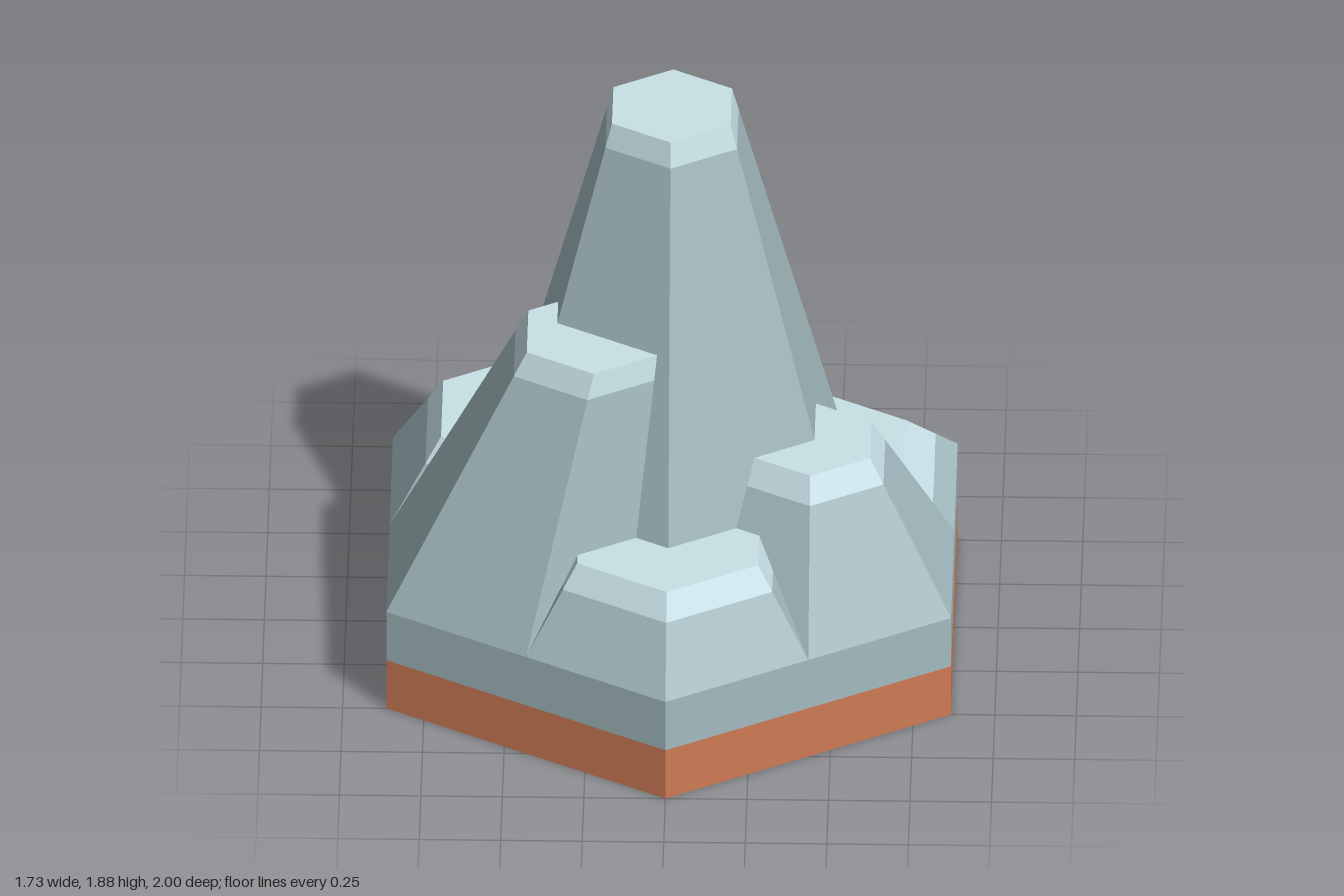
import * as THREE from 'three';

const rock = new THREE.MeshStandardMaterial({ color: 0xa3bbc0, flatShading: true });
const ice = new THREE.MeshStandardMaterial({ color: 0xc8e1e7, flatShading: true });
const clay = new THREE.MeshStandardMaterial({ color: 0xcf7c56, flatShading: true });

const BASE_Y = 0.35;
const CAP = 0.08;

// Six-sided block between two rings { x, y, z, r }, with a corner towards +z
function hexBlock(name, bottom, top, material) {
  const h = top.y - bottom.y;
  const geo = new THREE.CylinderGeometry(top.r, bottom.r, h, 6);
  const pos = geo.attributes.position;
  for (let i = 0; i < pos.count; i++) {
    const ring = pos.getY(i) > 0 ? top : bottom;
    pos.setXYZ(i, pos.getX(i) + ring.x, ring.y, pos.getZ(i) + ring.z);
  }
  geo.computeVertexNormals();
  const mesh = new THREE.Mesh(geo, material);
  mesh.name = name;
  return mesh;
}

const ring = (x, y, z, r) => ({ x, y, z, r });

// Tapered peak with a pale band and flat top
function peak(name, foot, tip) {
  const t = 1 - CAP / (tip.y - foot.y);
  const mid = {};
  for (const k of ['x', 'y', 'z', 'r']) mid[k] = foot[k] + (tip[k] - foot[k]) * t;
  const group = new THREE.Group();
  group.name = name;
  group.add(hexBlock('rockSlope', foot, mid, rock), hexBlock('paleCap', mid, tip, ice));
  return group;
}

export function createModel() {
  const model = new THREE.Group();
  model.name = 'hexMountain';

  // Base slabs
  model.add(hexBlock('clayBase', ring(0, 0, 0, 1), ring(0, 0.175, 0, 1), clay));
  model.add(hexBlock('rockBase', ring(0, 0.175, 0, 1), ring(0, BASE_Y, 0, 1), rock));

  // Main summit
  model.add(peak('mainPeak', ring(0, BASE_Y, 0, 0.65), ring(0, 1.88, 0, 0.21)));

  // Six smaller peaks, one per base corner: name, top height, top radius, top shift
  const peaks = [
    ['frontPeak', 0.635, 0.32, 0, 0],
    ['frontLeftPeak', 0.835, 0.21, 0, 0],
    ['backLeftPeak', 0.49, 0.32, 0, 0],
    ['backPeak', 1.075, 0.23, 0, 0.085],
    ['backRightPeak', 0.615, 0.32, 0, 0],
    ['frontRightPeak', 1.215, 0.24, 0.203, 0],
  ];
  peaks.forEach(([name, y, r, dx, dz], i) => {
    const a = (i * Math.PI) / 3;
    const x = 0.5 * Math.sin(a);
    const z = 0.5 * Math.cos(a);
    model.add(peak(name, ring(x, BASE_Y, z, 0.5), ring(x + dx, y, z + dz, r)));
  });

  return model;
}
